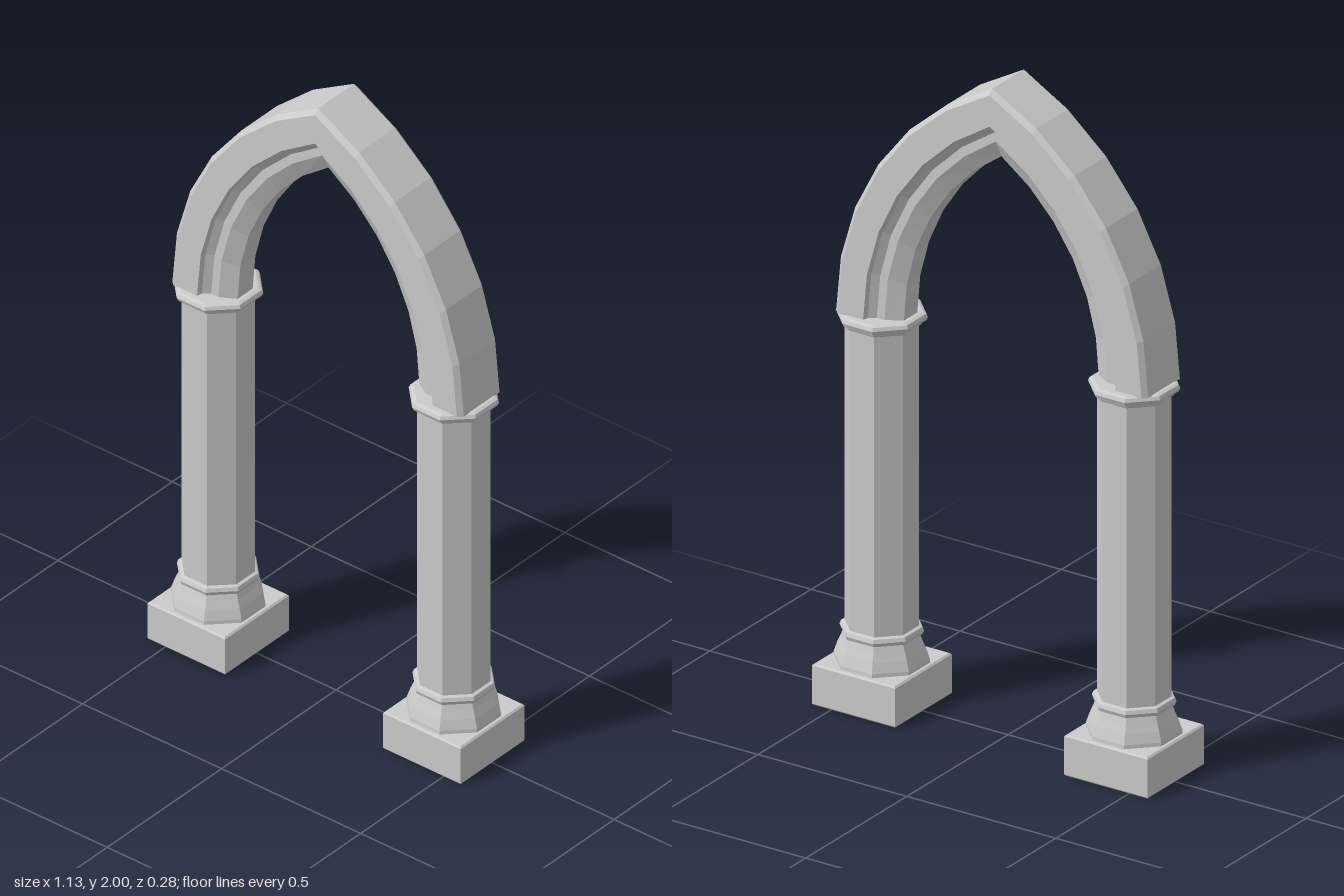
import * as THREE from 'three';

const stone = new THREE.MeshStandardMaterial({ color: 0xcccccc, flatShading: true, side: THREE.DoubleSide });

const COLUMN_X = 0.4235;   // column axis
const SPRING_Y = 1.19;     // where the arch starts
const OUTER_X = 0.524;     // outer edge of the arch at the spring
const ARC_CENTER_X = -0.364;

// Turned prism: profile of [half-width across flats, y], with a given number of sides
function prism(name, sides, profile) {
  const k = 1 / Math.cos(Math.PI / sides);
  const points = profile.map(([r, y]) => new THREE.Vector2(r * k, y));
  const mesh = new THREE.Mesh(new THREE.LatheGeometry(points, sides, Math.PI / sides), stone);
  mesh.name = name;
  mesh.position.x = COLUMN_X;
  return mesh;
}

// Half of the pointed arch: a moulded section swept along concentric arcs, mitred at x = 0
function archHalf() {
  const half = [ // [depth in from the outer edge, z]
    [0, 0.078], [0.014, 0.092], [0.1, 0.092], [0.104, 0.076],
    [0.124, 0.06], [0.15, 0.06], [0.197, 0.033],
  ];
  const section = [...half, ...half.map(([d, z]) => [d, -z]).reverse()];
  const n = section.length, steps = 6;
  const pos = [], index = [];
  for (let i = 0; i <= steps; i++) {
    for (const [d, z] of section) {
      const r = OUTER_X - ARC_CENTER_X - d;
      const a = Math.acos(-ARC_CENTER_X / r) * i / steps;
      pos.push(ARC_CENTER_X + r * Math.cos(a), SPRING_Y + r * Math.sin(a), z);
    }
  }
  for (let i = 0; i < steps; i++) {
    for (let j = 0; j < n; j++) {
      const a = i * n + j, b = i * n + (j + 1) % n;
      index.push(a, a + n, b, b, a + n, b + n);
    }
  }
  const geo = new THREE.BufferGeometry();
  geo.setAttribute('position', new THREE.Float32BufferAttribute(pos, 3));
  geo.setIndex(index);
  geo.computeVertexNormals();
  const mesh = new THREE.Mesh(geo, stone);
  mesh.name = 'archHalf';
  return mesh;
}

function archSide(name) {
  const side = new THREE.Group();
  side.name = name;
  side.add(
    // Square plinth, open underneath, with softened edges
    prism('plinth', 4, [[0.137, 0], [0.14, 0.004], [0.14, 0.12], [0.135, 0.125], [0, 0.125]]),
    // Flared foot
    prism('columnBase', 8, [[0.127, 0.125], [0.126, 0.136], [0.117, 0.165], [0.107, 0.19], [0.1, 0.21]]),
    // Thin ring above the foot
    prism('baseRing', 8, [[0.097, 0.207], [0.107, 0.21], [0.111, 0.221], [0.107, 0.232], [0.097, 0.236]]),
    prism('shaft', 8, [[0.098, 0.2], [0.098, 1.16]]),
    // Rounded collar carrying the arch
    prism('collar', 8, [[0.097, 1.15], [0.104, 1.155], [0.107, 1.163], [0.117, 1.168],
      [0.121, 1.178], [0.117, 1.188], [0.108, 1.192], [0, 1.192]]),
    archHalf(),
  );
  return side;
}

export function createModel() {
  const model = new THREE.Group();
  model.name = 'pointedArch';
  const left = archSide('leftSide');
  const right = archSide('rightSide');
  right.scale.x = -1;
  model.add(left, right);
  return model;
}
